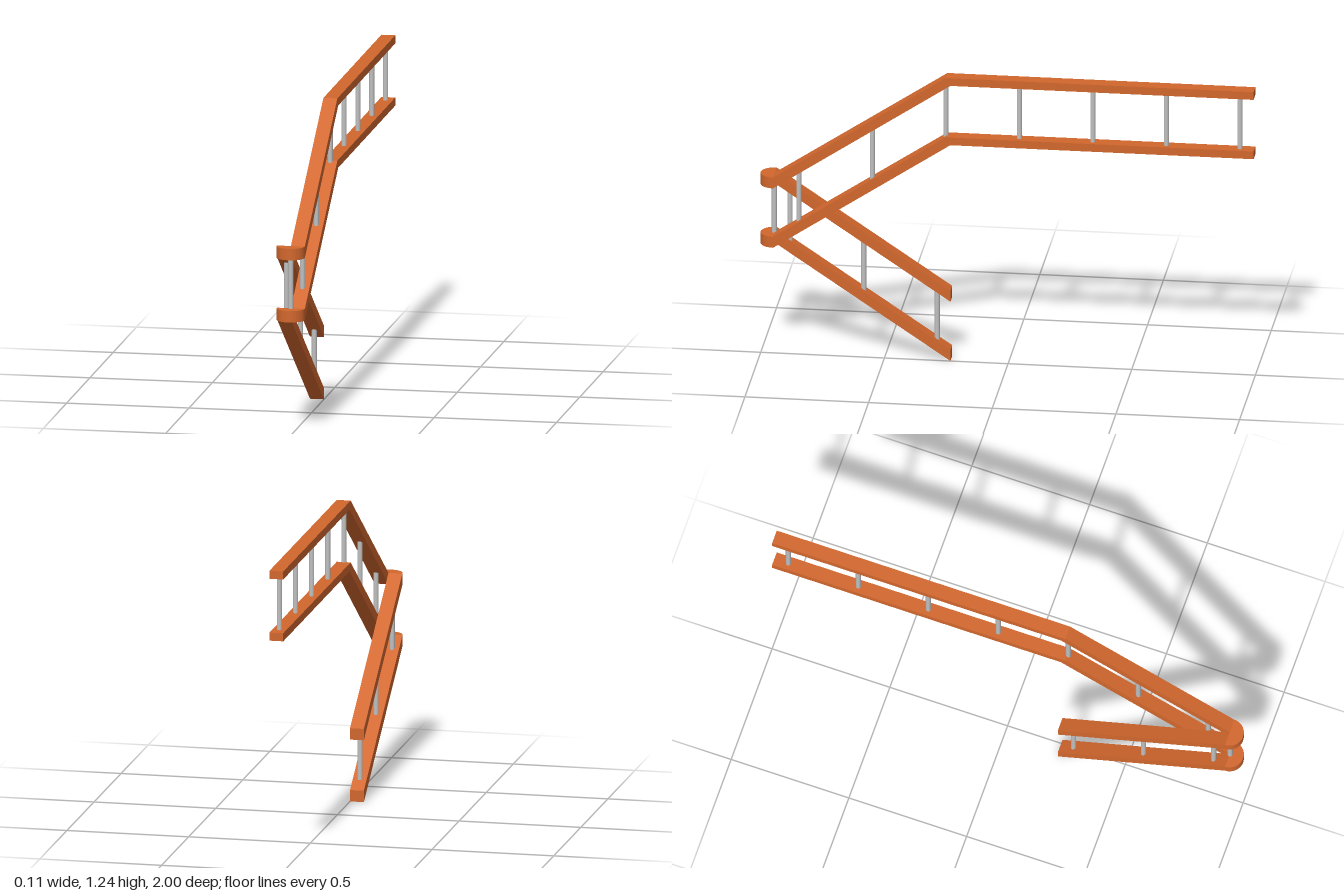
import * as THREE from 'three';
import { toCreasedNormals } from 'three/addons/utils/BufferGeometryUtils.js';

const W = 0.057;        // rail width, also the radius of the turn
const DROP = 0.255;     // height between upper and lower rail
const TURN_Z = 0.943;   // where both flights meet the turn

export function createModel() {
  const group = new THREE.Group();
  const orange = new THREE.MeshStandardMaterial({ color: 0xd2672d });
  orange.name = 'orange rail';
  const grey = new THREE.MeshStandardMaterial({ color: 0xc0c0c0 });
  grey.name = 'grey metal';

  const add = (name, geometry, material, x, y, z) => {
    const mesh = new THREE.Mesh(geometry, material);
    mesh.name = name;
    mesh.position.set(x, y, z);
    group.add(mesh);
  };

  // Side outline of a rail, given as [z, y], extruded across x from -W to 0
  const railGeometry = (points) => {
    const shape = new THREE.Shape(points.map(([z, y]) => new THREE.Vector2(z, y)));
    const g = new THREE.ExtrudeGeometry(shape, { depth: W, bevelEnabled: false });
    return g.rotateY(-Math.PI / 2);
  };
  const upperFlight = railGeometry([
    [-1, 1.206], [0.226, 1.206], [TURN_Z, 0.73],
    [TURN_Z, 0.777], [0.245, 1.239], [-1, 1.239],
  ]);
  const lowerFlight = railGeometry([
    [0.233, 0.256], [TURN_Z, 0.73], [TURN_Z, 0.777], [0.233, 0.303],
  ]);

  // Half-round turn joining the two flights
  const half = new THREE.Shape();
  half.absarc(0, 0, W, 0, Math.PI, false);
  half.closePath();
  const turn = toCreasedNormals(
    new THREE.ExtrudeGeometry(half, { depth: 0.047, bevelEnabled: false, curveSegments: 24 })
      .rotateX(Math.PI / 2), 0.6);

  ['top', 'bottom'].forEach((level, i) => {
    const y = -DROP * i;
    add(level + 'RailUpperFlight', upperFlight, orange, W, y, 0);
    add(level + 'RailLowerFlight', lowerFlight, orange, 0, y, 0);
    add(level + 'RailTurn', turn, orange, 0, 0.777 + y, TURN_Z);
  });

  // Upright bars between the rails; y is the middle of the top rail
  const bar = new THREE.CylinderGeometry(0.0105, 0.0105, DROP, 16);
  const addBar = (x, y, z) => add('bar', bar, grey, x, y - DROP / 2, z);
  const lerp = THREE.MathUtils.mapLinear;
  for (let i = 0; i < 7; i++) {
    const z = -0.941 + i * 0.2972;
    addBar(W / 2, z < 0.236 ? 1.222 : lerp(z, 0.236, TURN_Z, 1.222, 0.7535), z);
  }
  for (const z of [0.29, 0.587, 0.885]) {
    addBar(-W / 2, lerp(z, 0.233, TURN_Z, 0.2795, 0.7535), z);
  }
  addBar(0, 0.7535, 0.945);

  return group;
}
